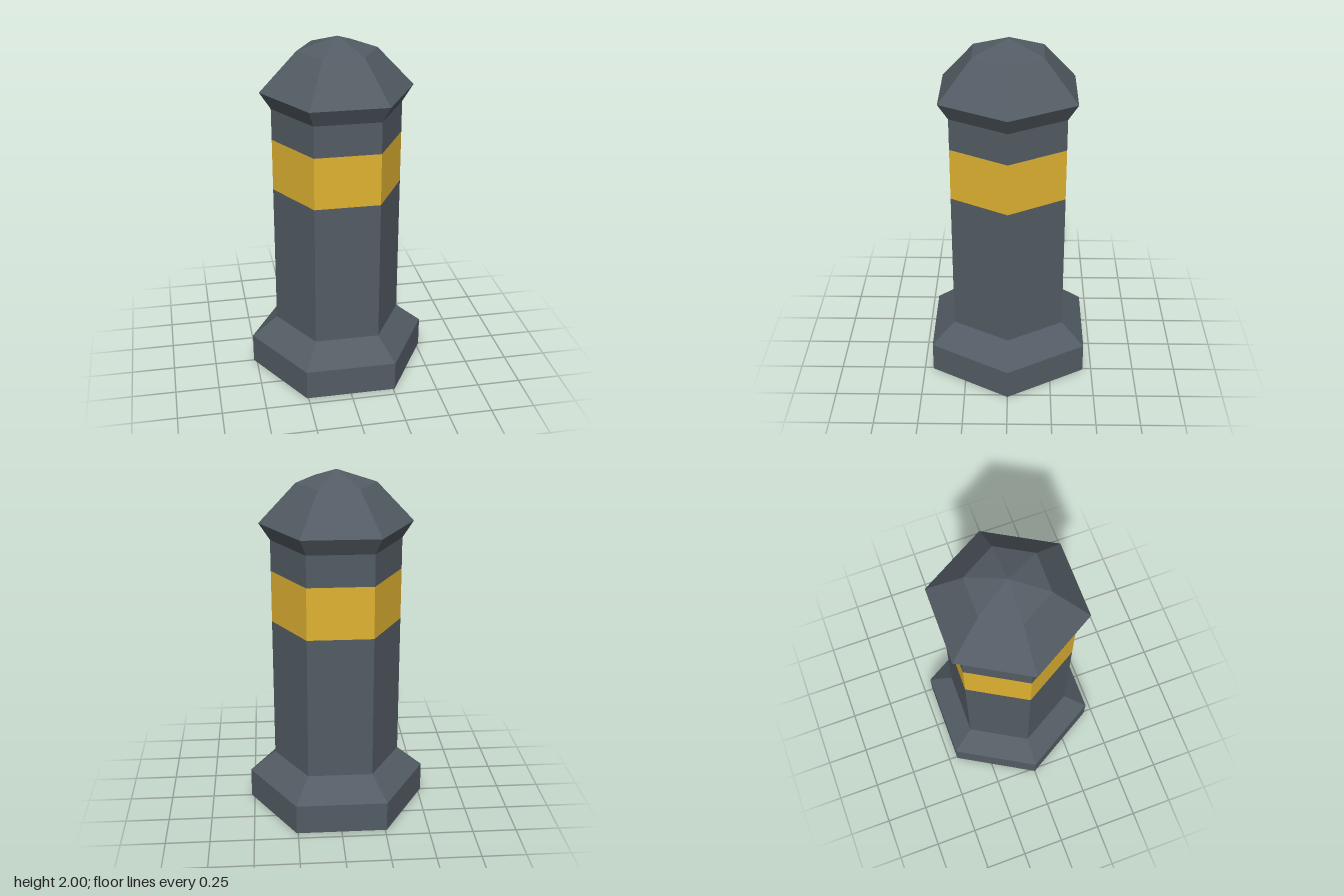
import * as THREE from 'three';

const SIDES = 6;

function makeMaterial(name, color) {
  const material = new THREE.MeshStandardMaterial({ color, flatShading: true, side: THREE.DoubleSide });
  material.name = name;
  return material;
}

// Hexagonal shell turned from [radius, height] pairs, with corners on the x axis
function hexShell(name, profile, material) {
  const points = profile.map(([r, y]) => new THREE.Vector2(r, y));
  const mesh = new THREE.Mesh(new THREE.LatheGeometry(points, SIDES, Math.PI / 2), material);
  mesh.name = name;
  return mesh;
}

export function createModel() {
  const iron = makeMaterial('slate grey iron', 0x535c64);
  const yellow = makeMaterial('warning yellow', 0xe0b232);
  const bollard = new THREE.Group();
  bollard.name = 'bollard';

  const shaft = 0.369;
  bollard.add(
    // Open-bottomed foot with sloped shoulder
    hexShell('base', [[0.518, 0], [0.518, 0.175], [shaft, 0.295]], iron),
    // Post, split around the painted band
    hexShell('lowerPost', [[shaft, 0.295], [shaft, 1.13]], iron),
    hexShell('band', [[shaft, 1.13], [shaft, 1.43]], yellow),
    hexShell('upperPost', [[shaft, 1.43], [shaft, 1.61]], iron),
    // Flared, faceted dome
    hexShell('cap', [[shaft, 1.61], [0.431, 1.706], [0.223, 1.927], [0, 2]], iron),
  );
  return bollard;
}
